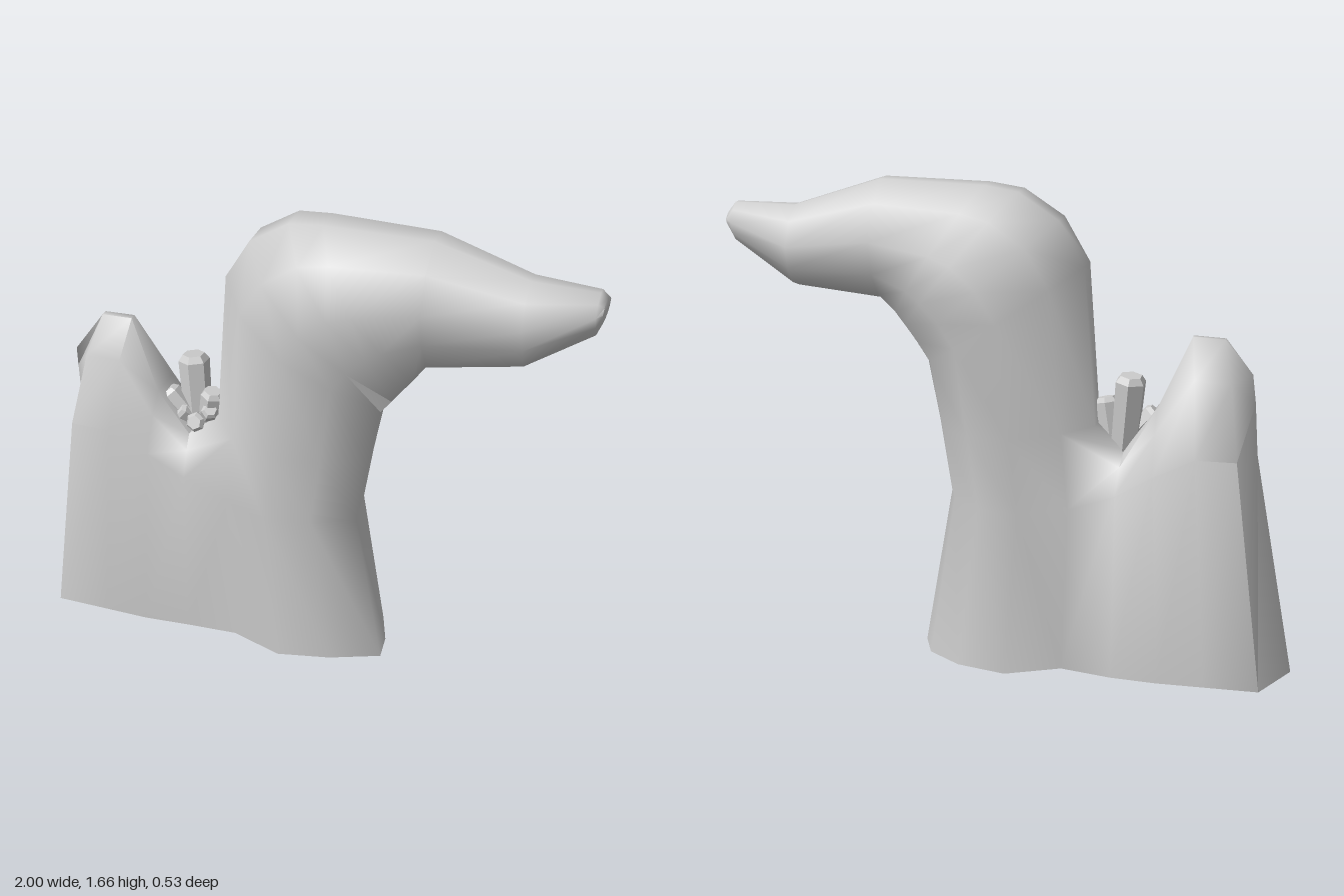
import * as THREE from 'three';
import { mergeGeometries, toCreasedNormals } from 'three/addons/utils/BufferGeometryUtils.js';

const rock = new THREE.MeshStandardMaterial({ color: 0xcccccc, side: THREE.DoubleSide });
const crystalMat = new THREE.MeshStandardMaterial({ color: 0xcccccc, flatShading: true });

// Skins a list of equally long point rows; keep(i, j) may leave faces out
function loft(rows, closed, keep = () => true) {
  const n = rows[0].length, index = [];
  for (let i = 0; i < rows.length - 1; i++) {
    for (let j = 0; j < (closed ? n : n - 1); j++) {
      if (!keep(i, j)) continue;
      const a = i * n + j, b = i * n + (j + 1) % n;
      index.push(a, b, a + n, b, b + n, a + n);
    }
  }
  const g = new THREE.BufferGeometry();
  g.setAttribute('position', new THREE.Float32BufferAttribute(rows.flat(2), 3));
  g.setIndex(index);
  return g;
}

// Ring outline: share of the way from throat to nape, share of the half width
const outline = [[0.02, 0.1], [0.09, -0.4], [0.28, -0.8], [0.55, -1], [0.83, -0.62], [1, -0.15],
  [1, 0.25], [0.83, 0.75], [0.54, 1], [0.26, 0.82], [0, 0.52]];

// Neck and head rings: throat x, y, nape x, y, half width, centre z
const neckRows = [
  [0.32, 0, -0.33, 0, 0.237, 0],
  [0.22, 0.57, -0.33, 0.58, 0.235, 0],
  [0.26, 0.82, -0.31, 0.85, 0.238, 0],
  [0.30, 1.03, -0.27, 1.40, 0.258, -0.008],
  [0.34, 1.085, -0.18, 1.55, 0.262, 0],
  [0.38, 1.14, -0.04, 1.64, 0.253, 0.008],
  [0.41, 1.18, 0.08, 1.657, 0.235, 0.02],
  [0.45, 1.235, 0.45, 1.665, 0.19, 0.033],
  [0.76, 1.275, 0.76, 1.565, 0.125, 0.02],
  [0.98, 1.425, 0.98, 1.565, 0.07, 0.035],
  [1.0, 1.475, 1.0, 1.54, 0.06, 0.035],
  [1.0, 1.507, 1.0, 1.507, 0, 0.035],
].map(([ix, iy, ox, oy, w, zc]) =>
  outline.map(([t, s]) => [ix + (ox - ix) * t, iy + (oy - iy) * t, zc + w * s]));

// Low stump: arched sections along x, dipping into a saddle and joined to the neck
function stumpRows() {
  // foot x, half width | shoulder x, y, half width | crest x, y, half width, z
  const rows = [
    [-1.0, 0, -0.86, 0.77, 0, -0.83, 1.03, 0, 0.08],
    [-0.91, 0.205, -0.81, 0.79, 0.185, -0.74, 1.16, 0.012, 0.03],
    [-0.72, 0.205, -0.67, 0.79, 0.185, -0.63, 1.165, 0.012, 0.03],
    [-0.56, 0.205, -0.53, 0.72, 0.18, -0.52, 0.92, 0.06, 0.03],
    [-0.40, 0.19, -0.40, 0.64, 0.165, -0.41, 0.77, 0.06, 0.03],
  ].map(([fx, fw, sx, sy, sw, cx, cy, cw, cz]) => {
    const half = (s) => [[fx, 0, s * fw], [sx, sy, s * sw + 0.01],
      [(sx + cx) / 2, sy + (cy - sy) * 0.65, s * (sw + cw) / 2 + cz * 0.6],
      [cx, cy, s * cw + cz]];
    return [...half(-1), ...half(1).reverse()];
  });
  const [foot, waist, nape] = neckRows;
  rows.push([foot[4], waist[4], nape[4], nape[5], nape[6], nape[7], waist[7], foot[7]]);
  return rows;
}

// Six-sided crystal with a bevelled tip, running from one point to another
function crystal(from, to, r) {
  const a = new THREE.Vector3(...from), dir = new THREE.Vector3(...to).sub(a);
  const h = dir.length();
  const profile = [[0, 0], [r * 0.9, 0], [r, h - r * 0.4], [r * 0.7, h], [0, h]]
    .map(([x, y]) => new THREE.Vector2(x, y));
  const m = new THREE.Mesh(new THREE.LatheGeometry(profile, 6), crystalMat);
  m.position.copy(a);
  m.quaternion.setFromUnitVectors(new THREE.Vector3(0, 1, 0), dir.normalize());
  m.name = 'crystal';
  return m;
}

export function createModel() {
  const model = new THREE.Group();
  model.name = 'rockFormation';

  // Hollow body: the neck stays open where the stump meets it
  const neck = loft(neckRows, true, (i, j) => i > 1 || j < 4 || j > 6);
  const stump = loft(stumpRows(), false);
  const body = new THREE.Mesh(toCreasedNormals(mergeGeometries([neck, stump]), 1.3), rock);
  body.name = 'neckHeadAndStump';

  // Crystal cluster in the saddle
  const cluster = new THREE.Group();
  cluster.name = 'crystalCluster';
  [
    [[-0.405, 0.77, 0.01], [-0.43, 1.03, -0.02], 0.055],
    [[-0.41, 0.79, 0.03], [-0.51, 0.90, 0.03], 0.038],
    [[-0.36, 0.78, 0.03], [-0.333, 0.935, 0.045], 0.042],
    [[-0.41, 0.79, 0.02], [-0.46, 0.845, 0.06], 0.032],
    [[-0.39, 0.79, 0.02], [-0.39, 0.82, 0.09], 0.036],
    [[-0.37, 0.80, 0.02], [-0.33, 0.88, 0.08], 0.032],
  ].forEach((c) => cluster.add(crystal(...c)));

  model.add(body, cluster);
  return model;
}
